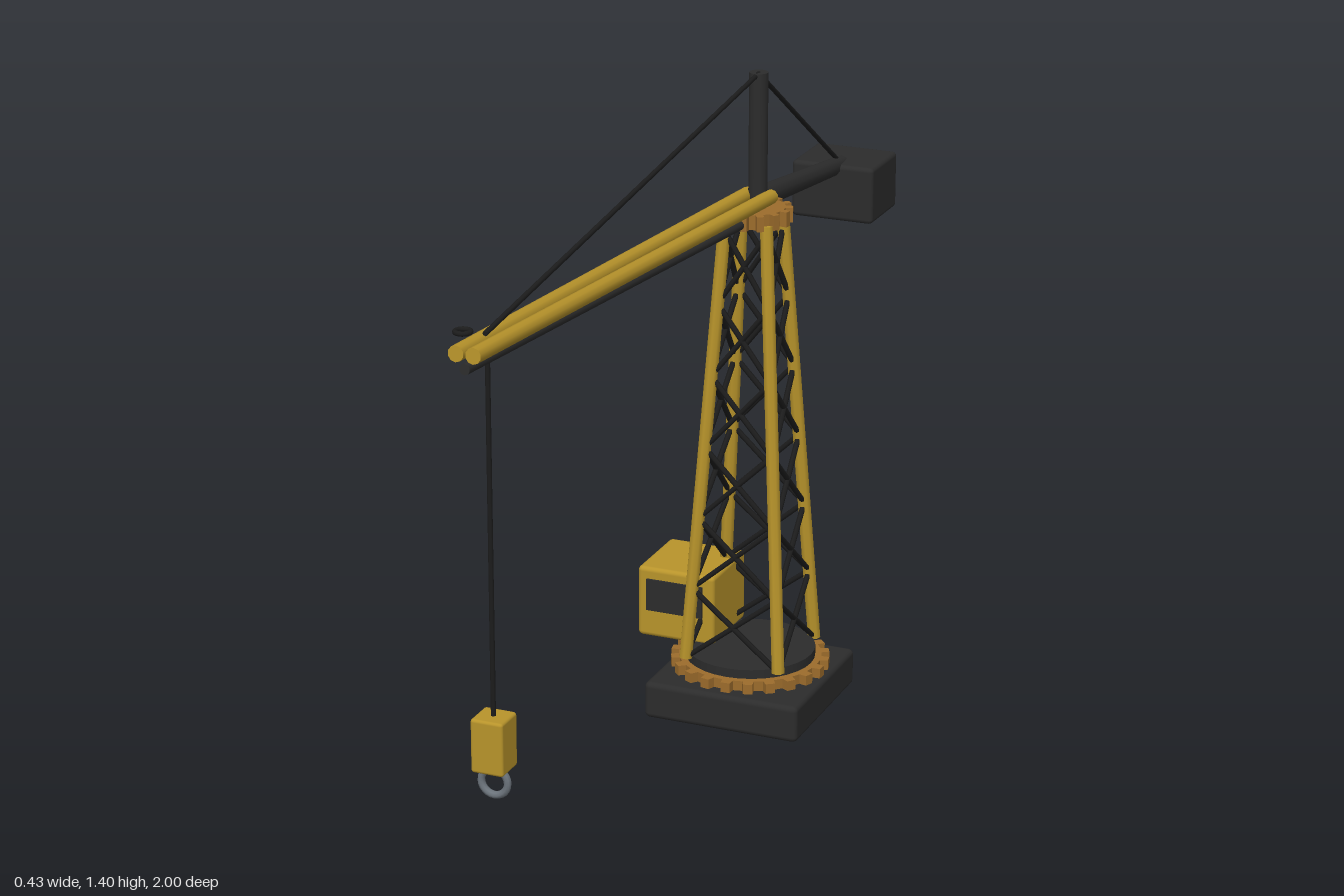
import * as THREE from 'three';
import { RoundedBoxGeometry } from 'three/addons/geometries/RoundedBoxGeometry.js';

const CX = 0.036, CZ = -0.39;
const mat = (name, color) => {
  const m = new THREE.MeshStandardMaterial({ color });
  m.name = name;
  return m;
};

export function createModel() {
  const gold = mat('gold paint', 0xb8942b);
  const dark = mat('dark steel', 0x2c2c2c);
  const black = mat('black cable', 0x1c1c1c);
  const bronze = mat('bronze gear', 0x9c6c2c);
  const grey = mat('grey hook', 0x6c747c);
  const root = new THREE.Group();
  root.name = 'towerCrane';

  const add = (name, geo, material, x = 0, y = 0, z = 0, parent = root) => {
    const m = new THREE.Mesh(geo, material);
    m.name = name;
    m.position.set(x, y, z);
    parent.add(m);
    return m;
  };
  const box = (name, material, w, h, d, x, y, z, r) =>
    add(name, new RoundedBoxGeometry(w, h, d, 2, r), material, x, y, z);
  // Round bar between two points
  const bar = (name, material, a, b, r, r2 = r, sides = 10, parent = root) => {
    const p = new THREE.Vector3(...a), dir = new THREE.Vector3(...b).sub(p);
    const m = add(name, new THREE.CylinderGeometry(r2, r, dir.length(), sides), material, 0, 0, 0, parent);
    m.position.copy(p).addScaledVector(dir, 0.5);
    m.quaternion.setFromUnitVectors(new THREE.Vector3(0, 1, 0), dir.normalize());
    return m;
  };
  // Flat toothed wheel lying in the horizontal plane
  const gear = (name, teeth, rootR, tipR, height, y) => {
    const pts = [];
    for (let i = 0; i < teeth; i++) {
      [[0, rootR], [0.45, rootR], [0.52, tipR], [0.93, tipR]].forEach(([f, r]) => {
        const t = (i + f) / teeth * Math.PI * 2;
        pts.push(new THREE.Vector2(Math.cos(t) * r, Math.sin(t) * r));
      });
    }
    const geo = new THREE.ExtrudeGeometry(new THREE.Shape(pts), { depth: height, bevelEnabled: false });
    geo.rotateX(-Math.PI / 2);
    add(name, geo, bronze, CX, y, CZ);
  };

  // Footing and slewing ring
  box('base', dark, 0.35, 0.082, 0.35, CX, 0.041, CZ, 0.012);
  add('pivot', new THREE.CylinderGeometry(0.13, 0.13, 0.02, 32), dark, CX, 0.085, CZ);
  gear('slewingGear', 22, 0.154, 0.171, 0.022, 0.089);
  add('turntable', new THREE.CylinderGeometry(0.14, 0.14, 0.02, 32), dark, CX, 0.121, CZ);

  // Tower: four leaning legs and crossed braces on each face
  const tower = new THREE.Group();
  tower.name = 'tower';
  root.add(tower);
  const Y0 = 0.125, Y1 = 1.09, panels = 6;
  const corner = (i, t) => {
    const h = THREE.MathUtils.lerp(0.106, 0.046, t);
    const [sx, sz] = [[1, 1], [1, -1], [-1, -1], [-1, 1]][i % 4];
    return [CX + sx * h, THREE.MathUtils.lerp(Y0, Y1, t), CZ + sz * h];
  };
  for (let i = 0; i < 4; i++) {
    bar('towerLeg', gold, corner(i, 0), corner(i, 1), 0.0145, 0.0145, 8, tower);
    for (let k = 0; k < panels; k++) {
      const a = k / panels * 0.98, b = (k + 1) / panels * 0.98;
      bar('towerBrace', black, corner(i, a), corner(i + 1, b), 0.006, 0.006, 6, tower);
      bar('towerBrace', black, corner(i + 1, a), corner(i, b), 0.006, 0.006, 6, tower);
    }
  }
  gear('topGear', 14, 0.066, 0.081, 0.032, 1.083);

  // Operator cab with front window
  box('cab', gold, 0.178, 0.16, 0.182, -0.125, 0.205, -0.447, 0.01);
  add('cabWindow', new THREE.BoxGeometry(0.13, 0.072, 0.008), dark, -0.127, 0.224, -0.355);

  // Jib: two upper chords and one lower chord
  for (const s of [-1, 1])
    bar('jibUpperChord', gold, [CX + s * 0.026, 1.13, -0.42], [CX + s * 0.017, 1.225, 0.975], 0.0155, 0.0155, 10);
  bar('jibLowerChord', dark, [CX, 1.092, -0.36], [CX, 1.198, 0.975], 0.0105);
  const tip = add('tipRing', new THREE.TorusGeometry(0.014, 0.005, 8, 20), black, CX, 1.27, 0.979);
  tip.rotation.x = Math.PI / 2;

  // Mast, counter jib and counterweight
  bar('mast', dark, [CX, 1.1, -0.41], [CX, 1.395, -0.41], 0.02, 0.02, 12);
  bar('counterJib', dark, [CX, 1.128, -0.4], [CX, 1.068, -0.9], 0.024, 0.019, 10);
  box('counterweight', dark, 0.188, 0.126, 0.157, CX, 1.018, -0.9215, 0.01);

  // Tie cables
  bar('frontTie', black, [CX, 1.392, -0.41], [CX, 1.238, 0.89], 0.005, 0.005, 8);
  bar('rearTie', black, [CX, 1.392, -0.41], [CX, 1.075, -0.89], 0.005, 0.005, 8);

  // Hoist cable, hook block and hook ring
  bar('hoistCable', black, [CX, 1.21, 0.882], [CX, 0.48, 0.882], 0.005, 0.005, 8);
  box('hookBlock', gold, 0.066, 0.108, 0.066, CX, 0.44, 0.882, 0.006);
  add('hookRing', new THREE.TorusGeometry(0.027, 0.0075, 8, 24), grey, CX, 0.36, 0.882);

  return root;
}
